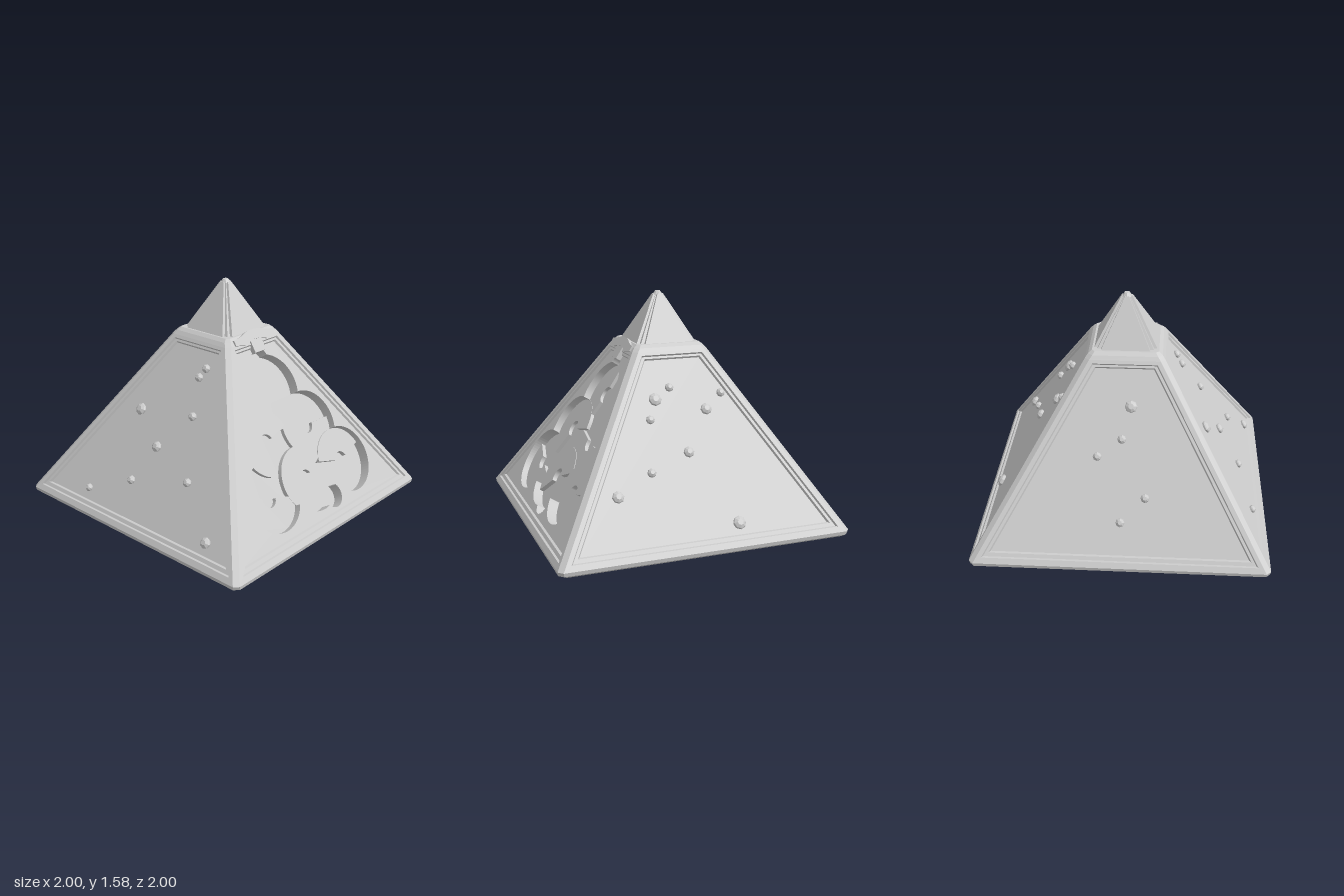
import * as THREE from 'three';

const SLOPE = 0.63, LEN = Math.hypot(1, SLOPE), CH = 0.03, Y0 = 0.04, Y1 = 1.2;
const half = y => 1 - SLOPE * (y - Y0);          // half width of the body at a height
const vAt = y => (y - Y0) * LEN;                 // height -> distance up a sloping face
const DEG = Math.PI / 180;

const mat = new THREE.MeshStandardMaterial({ color: 0xcccccc, flatShading: true });

function mesh(name, geo, parent) {
  const m = new THREE.Mesh(geo, mat);
  m.name = name;
  parent.add(m);
  return m;
}

// Flat-faced geometry from quads with anticlockwise corners
function quadGeometry(quads) {
  const pos = [];
  for (const [a, b, c, d] of quads) pos.push(...a, ...b, ...c, ...a, ...c, ...d);
  const g = new THREE.BufferGeometry();
  g.setAttribute('position', new THREE.Float32BufferAttribute(pos, 3));
  g.computeVertexNormals();
  return g;
}

// Trapezoid ring in a face's own plane: inset t, sunk by d
function ring(t, d) {
  const yb = Y0 + t * 0.75, yt = Y1 - t * 0.45;
  const ub = half(yb) - CH - t * 0.75, ut = half(yt) - CH - t * 0.75;
  return [[-ub, vAt(yb), -d], [ub, vAt(yb), -d], [ut, vAt(yt), -d], [-ut, vAt(yt), -d]];
}
const INNER = ring(0.095, 0.025);

// Stepped border of one side, with its panel unless open
function sideGeometry(open) {
  const rings = [ring(0, 0), ring(0.045, 0), ring(0.055, 0.012), ring(0.083, 0.012), INNER];
  const quads = [];
  for (let i = 0; i < rings.length - 1; i++)
    for (let k = 0; k < 4; k++) {
      const n = (k + 1) % 4;
      quads.push([rings[i][k], rings[i][n], rings[i + 1][n], rings[i + 1][k]]);
    }
  if (!open) quads.push(INNER);
  return quadGeometry(quads);
}

// Square section with cut corners, lofted through [y, halfWidth, cut] levels
function loftGeometry(levels) {
  const rows = levels.map(([y, h, c]) => {
    const e = h - c;
    return [[-e, y, h], [e, y, h], [h, y, e], [h, y, -e], [e, y, -h], [-e, y, -h], [-h, y, -e], [-h, y, e]];
  });
  const quads = [];
  for (let i = 0; i < rows.length - 1; i++)
    for (let k = 0; k < 8; k++) {
      const n = (k + 1) % 8;
      quads.push([rows[i][k], rows[i][n], rows[i + 1][n], rows[i + 1][k]]);
    }
  const b = rows[0], t = rows[rows.length - 1];
  for (const [i, j, k, l] of [[0, 1, 2, 7], [7, 2, 3, 6], [6, 3, 4, 5]]) {
    quads.push([t[i], t[j], t[k], t[l]]);
    quads.push([b[l], b[k], b[j], b[i]]);
  }
  return quadGeometry(quads);
}

// Box tapering from its base to its top
function taper(x0, z0, y0, x1, z1, y1) {
  const g = new THREE.BoxGeometry(2, 1, 2), p = g.attributes.position;
  for (let i = 0; i < p.count; i++) {
    const top = p.getY(i) > 0;
    p.setXYZ(i, p.getX(i) * (top ? x1 : x0), top ? y1 : y0, p.getZ(i) * (top ? z1 : z0));
  }
  g.computeVertexNormals();
  return g;
}

// Outline of a chain of overlapping circles, walked anticlockwise
function chainOutline(circles) {
  const n = circles.length;
  const cross = (a, b) => {
    const dx = b.u - a.u, dy = b.v - a.v, d = Math.hypot(dx, dy);
    const ang = Math.atan2(dy, dx) - Math.acos((a.r * a.r + d * d - b.r * b.r) / (2 * a.r * d));
    return [a.u + a.r * Math.cos(ang), a.v + a.r * Math.sin(ang)];
  };
  const path = new THREE.Shape();
  circles.forEach((c, i) => {
    const p = cross(circles[(i + n - 1) % n], c), q = cross(c, circles[(i + 1) % n]);
    path.absarc(c.u, c.v, c.r, Math.atan2(p[1] - c.v, p[0] - c.u), Math.atan2(q[1] - c.v, q[0] - c.u), false);
  });
  return path;
}

const extrude = (shape, depth, curveSegments = 24) =>
  new THREE.ExtrudeGeometry(shape, { depth, bevelEnabled: false, curveSegments });

// Faceted stud, its axis pointing out of the face
function studGeometry(r) {
  const pts = [[r * 0.85, -0.01], [r, 0.012], [r * 0.9, 0.02], [r * 0.45, 0.032], [0, 0.032]];
  return new THREE.LatheGeometry(pts.map(p => new THREE.Vector2(...p)), 8).rotateX(Math.PI / 2);
}

function buildFront(face) {
  const C = (u, y, r = 0.235) => ({ u, v: vAt(y), r });
  const T = C(0, 0.91), ML = C(-0.21, 0.633), MR = C(0.21, 0.633);
  const BL = C(-0.4, 0.353), BM = C(0, 0.353), BR = C(0.4, 0.353);
  const exit = C(0.13, 0.2, 0.085), entry = C(0, 1.09, 0.075);
  const outline = chainOutline([BL, BM, exit, BM, BR, MR, T, entry, T, ML]);

  // Panel with the pocket cut through it, and the pocket floor
  const slab = new THREE.Shape(INNER.map(p => new THREE.Vector2(p[0], p[1])));
  slab.holes.push(outline);
  mesh('pocketPanel', extrude(slab, 0.075), face).position.z = -0.1;
  mesh('pocketFloor', new THREE.ShapeGeometry(outline, 24), face).position.z = -0.099;

  // Raised sector of each round chamber, cut away around a hub
  const sectors = [[T, 88, 255], [ML, 15, 250], [MR, 170, 358], [BL, 160, 345], [BM, 25, 225], [BR, 15, 165]];
  sectors.forEach(([c, a0, a1], i) => {
    const s = new THREE.Shape();
    s.absarc(0, 0, 0.232, a0 * DEG, a1 * DEG, false);
    s.absarc(0, 0, 0.06, a1 * DEG, a0 * DEG, true);
    mesh('chamberStep', extrude(s, 0.024 + i * 0.002), face).position.set(c.u, c.v, -0.1);
  });

  // Arched lip and small block above the entry
  const lip = new THREE.Shape();
  lip.moveTo(-0.2, vAt(1.2));
  lip.lineTo(-0.11, vAt(1.185));
  lip.quadraticCurveTo(0, vAt(1.225), 0.11, vAt(1.185));
  lip.lineTo(0.2, vAt(1.2));
  lip.lineTo(0.2, vAt(1.232));
  lip.bezierCurveTo(0.1, vAt(1.235), 0.1, vAt(1.262), 0, vAt(1.262));
  lip.bezierCurveTo(-0.1, vAt(1.262), -0.1, vAt(1.235), -0.2, vAt(1.232));
  mesh('entryLip', extrude(lip, 0.05, 12), face).position.z = -0.04;
  mesh('entryBlock', new THREE.BoxGeometry(0.11, 0.09, 0.05), face).position.set(0, vAt(1.165), -0.015);
}

export function createModel() {
  const model = new THREE.Group();
  model.name = 'pyramid';

  // Foot, top plate and the four cut corner edges
  mesh('foot', loftGeometry([[0, 0.975, CH], [0.015, 0.995, CH], [Y0, 1, CH]]), model);
  mesh('topPlate', loftGeometry([[Y1, half(Y1), CH], [1.225, 0.25, CH], [1.245, 0.225, 0.02]]), model);
  const a = half(Y0), b = half(Y1);
  const edge = quadGeometry([[[a - CH, Y0, a], [a, Y0, a - CH], [b, Y1, b - CH], [b - CH, Y1, b]]]);

  // Studs per side as [across, height, radius]: front, right (+x), back, left (-x)
  const studs = [
    [],
    [[-0.18, 0.92, 0.045], [-0.065, 0.985, 0.03], [-0.24, 0.805, 0.03], [0.165, 0.84, 0.04], [0.295, 0.93, 0.03],
      [-0.02, 0.6, 0.037], [-0.3, 0.505, 0.03], [-0.55, 0.395, 0.04], [0.225, 0.175, 0.045]],
    [[0, 0.295, 0.03], [0.16, 0.435, 0.03], [-0.165, 0.66, 0.03], [-0.005, 0.76, 0.03], [0.05, 0.945, 0.042]],
    [[-0.47, 0.178, 0.027], [-0.28, 0.72, 0.042], [-0.125, 0.32, 0.03], [-0.02, 0.55, 0.037], [0.11, 1.0, 0.03],
      [0.14, 1.06, 0.03], [0.18, 0.78, 0.03], [0.34, 0.43, 0.03], [0.65, 0.178, 0.037]],
  ];
  ['front', 'right', 'back', 'left'].forEach((name, k) => {
    const side = new THREE.Group();
    side.name = name + 'Side';
    side.rotation.y = k * Math.PI / 2;
    model.add(side);
    mesh('cornerEdge', edge, side);
    // Sloping frame: x across, y up the slope, z outward
    const face = new THREE.Group();
    face.name = name + 'Face';
    face.position.set(0, Y0, 1);
    face.rotation.x = -Math.atan(SLOPE);
    side.add(face);
    mesh('panelAndBorder', sideGeometry(k === 0), face);
    for (const [u, y, r] of studs[k]) mesh('stud', studGeometry(r), face).position.set(u, vAt(y), -0.025);
    if (k === 0) buildFront(face);
  });

  // Capstone: core with proud plates on its four faces, and a rounded tip
  const cap = new THREE.Group();
  cap.name = 'capstone';
  model.add(cap);
  mesh('capCore', taper(0.195, 0.195, 1.235, 0.017, 0.017, 1.565), cap);
  mesh('capPlates', taper(0.17, 0.217, 1.235, 0.014, 0.036, 1.56), cap);
  mesh('capPlates', taper(0.217, 0.17, 1.235, 0.036, 0.014, 1.56), cap);
  mesh('capTip', new THREE.CylinderGeometry(0.018, 0.037, 0.025, 8), cap).position.y = 1.567;

  return model;
}
